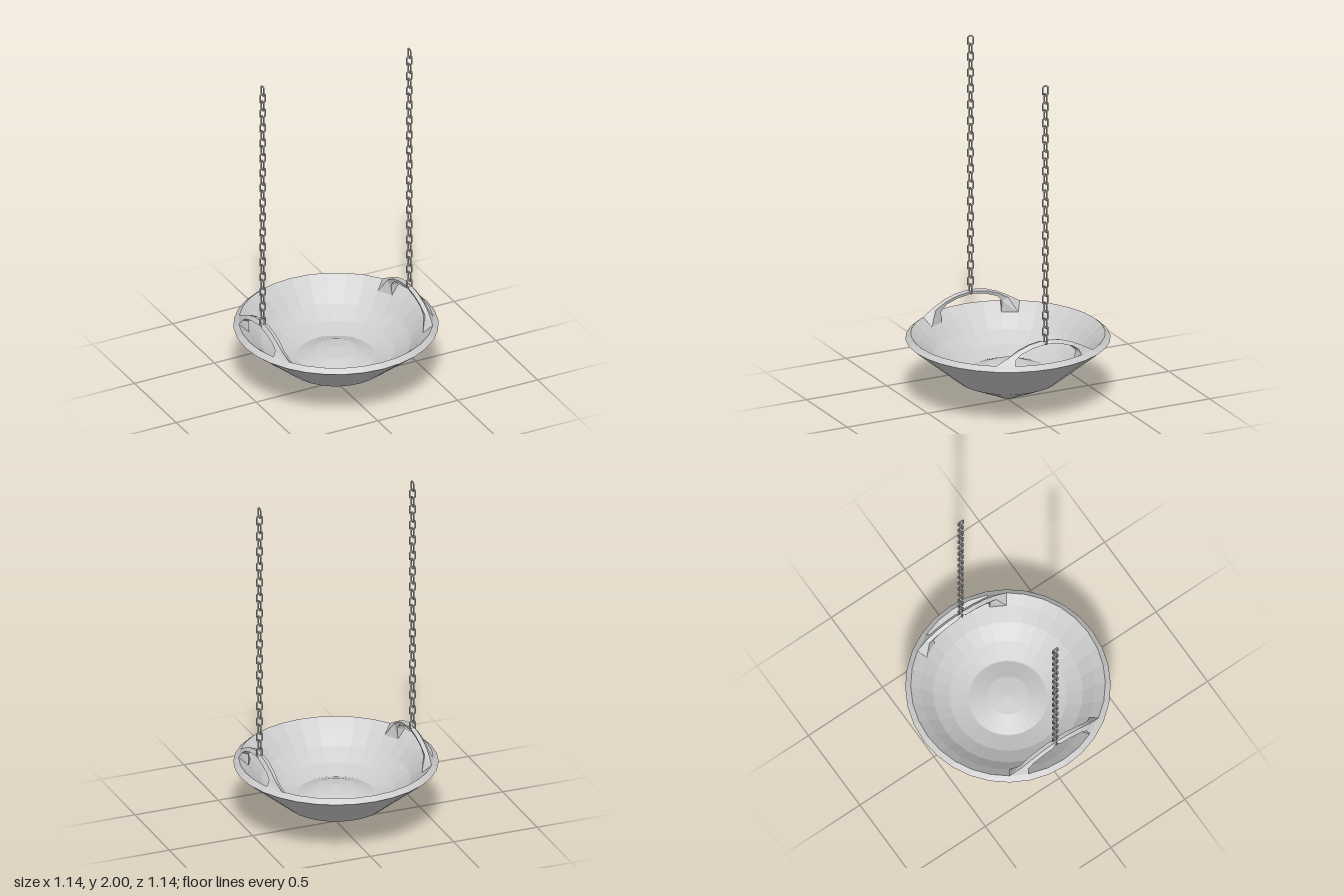
import * as THREE from 'three';

const V2 = (p) => new THREE.Vector2(p[0], p[1]);

function material() {
  return new THREE.MeshStandardMaterial({ color: 0xcccccc, flatShading: true, side: THREE.DoubleSide });
}

// Four-sided bar lofted through sections of [x, y, z] corners
function loft(sections) {
  const position = sections.flat(2);
  const index = [];
  for (let s = 0; s < sections.length - 1; s++) {
    for (let c = 0; c < 4; c++) {
      const a0 = s * 4 + c, b0 = s * 4 + ((c + 1) % 4);
      index.push(a0, a0 + 4, b0 + 4, a0, b0 + 4, b0);
    }
  }
  const g = new THREE.BufferGeometry();
  g.setAttribute('position', new THREE.Float32BufferAttribute(position, 3));
  g.setIndex(index);
  g.computeVertexNormals();
  return g;
}

// Arched handle growing out of the inner lip; corners: outer low, outer high, inner high, inner low
function handleGeometry() {
  const half = [
    [[0.499, 0.39, 0.207], [0.449, 0.39, 0.3], [0.403, 0.34, 0.269], [0.448, 0.34, 0.186]],
    [[0.482, 0.42, 0.195], [0.46, 0.43, 0.23], [0.44, 0.42, 0.225], [0.445, 0.405, 0.19]],
    [[0.48, 0.444, 0.16], [0.463, 0.464, 0.165], [0.44, 0.458, 0.162], [0.445, 0.44, 0.158]],
    [[0.48, 0.468, 0.09], [0.463, 0.488, 0.095], [0.44, 0.482, 0.092], [0.445, 0.465, 0.088]],
    [[0.48, 0.478, 0.025], [0.463, 0.498, 0.025], [0.44, 0.492, 0.025], [0.445, 0.475, 0.025]],
  ];
  const middle = [[0.467, 0.48, 0], [0.462, 0.49, 0], [0.452, 0.488, 0], [0.453, 0.479, 0]];
  const mirrored = half.map((s) => s.map(([x, y, z]) => [x, y, -z])).reverse();
  return loft([...half, middle, ...mirrored]);
}

// Octagonal chain link
function linkGeometry() {
  const outline = (w, h, c) => [
    [w, c - h], [w, h - c], [w - c, h], [c - w, h], [-w, h - c], [-w, c - h], [c - w, -h], [w - c, -h],
  ].map(V2);
  const shape = new THREE.Shape(outline(0.019, 0.031, 0.009));
  shape.holes.push(new THREE.Path(outline(0.0125, 0.0245, 0.006)));
  const depth = 0.006;
  return new THREE.ExtrudeGeometry(shape, { depth, bevelEnabled: false }).translate(0, 0, -depth / 2);
}

export function createModel() {
  const root = new THREE.Group();
  const mat = material();
  const SIDES = 32;

  // Bowl: conical outside, bevelled rim, rounded inside
  const bowl = new THREE.Mesh(new THREE.LatheGeometry([
    [0, 0], [0.285, 0.13], [0.57, 0.365], [0.54, 0.39],
    [0.485, 0.34], [0.415, 0.265], [0.325, 0.205], [0.222, 0.17], [0, 0.15],
  ].map(V2), SIDES), mat);
  bowl.name = 'bowl';
  root.add(bowl);

  // Low dome in the middle of the bowl
  const dome = new THREE.Mesh(new THREE.LatheGeometry(
    [[0.222, 0.168], [0.112, 0.211], [0, 0.226]].map(V2), SIDES), mat);
  dome.name = 'centreDome';
  root.add(dome);

  const handleGeo = handleGeometry();
  const linkGeo = linkGeometry();
  const LINKS = 32, PITCH = 0.0473;

  for (const [side, sign] of [['left', 1], ['right', -1]]) {
    const handle = new THREE.Mesh(handleGeo, mat);
    handle.name = side + 'Handle';
    if (sign < 0) handle.rotation.y = Math.PI;
    root.add(handle);

    // Chain of links turned alternately by a quarter
    const chain = new THREE.Group();
    chain.name = side + 'Chain';
    chain.position.x = sign * 0.459;
    for (let i = 0; i < LINKS; i++) {
      const link = new THREE.Mesh(linkGeo, mat);
      link.name = 'chainLink';
      link.position.y = 1.969 - i * PITCH;
      if (i % 2 === 0) link.rotation.y = Math.PI / 2;
      chain.add(link);
    }
    root.add(chain);
  }
  return root;
}
